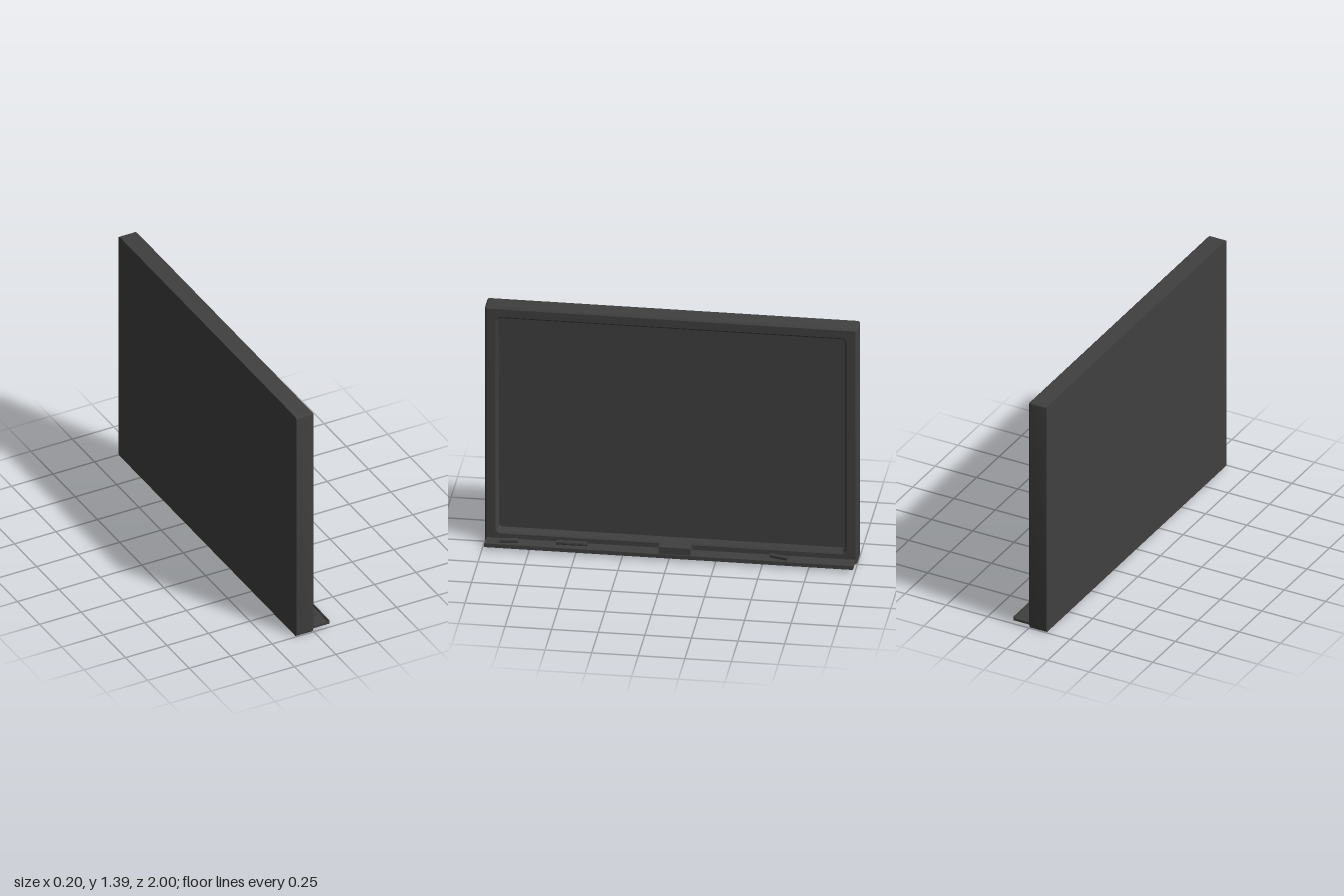
import * as THREE from 'three';
import { toCreasedNormals } from 'three/addons/utils/BufferGeometryUtils.js';

const MID_Y = 0.695;
const BACK = -0.105, FRONT = 0.004, FLOOR = -0.06, BEVEL = 0.01;

// rounded rectangle, counter-clockwise, centred on the origin
function roundedLoop(w, h, r, steps = 4) {
  const pts = [];
  const corners = [[1, 1], [-1, 1], [-1, -1], [1, -1]];
  corners.forEach(([sx, sy], c) => {
    for (let i = 0; i <= steps; i++) {
      const a = (c + i / steps) * Math.PI / 2;
      pts.push(new THREE.Vector2(sx * (w - r) + r * Math.cos(a), sy * (h - r) + r * Math.sin(a)));
    }
  });
  return pts;
}

// skin a row of equal-length loops, each at its own depth x
function skin(rings) {
  const pos = [], idx = [], n = rings[0].loop.length;
  rings.forEach(({ x, loop }) => loop.forEach(p => pos.push(x, p.y, -p.x)));
  for (let k = 0; k < rings.length - 1; k++) {
    for (let i = 0; i < n; i++) {
      const a = k * n + i, b = k * n + (i + 1) % n;
      idx.push(a, b, b + n, a, b + n, a + n);
    }
  }
  const g = new THREE.BufferGeometry();
  g.setAttribute('position', new THREE.Float32BufferAttribute(pos, 3));
  g.setIndex(idx);
  return toCreasedNormals(g, Math.PI / 6);
}

export function createModel() {
  const group = new THREE.Group();
  const material = new THREE.MeshStandardMaterial({ color: 0x404040 });
  const add = (name, geometry, x, y, z) => {
    const mesh = new THREE.Mesh(geometry, material);
    mesh.name = name;
    mesh.position.set(x, y, z);
    group.add(mesh);
    return mesh;
  };

  // frame: outer wall, bevelled front border, recess wall
  const outer = roundedLoop(1, MID_Y, 0.012);
  const opening = roundedLoop(0.932, 0.63, 0.02);
  add('frame', skin([
    { x: BACK, loop: outer },
    { x: FRONT - BEVEL, loop: outer },
    { x: FRONT, loop: roundedLoop(1 - BEVEL, MID_Y - BEVEL, 0.006) },
    { x: FRONT, loop: roundedLoop(0.942, 0.64, 0.028) },
    { x: FRONT - BEVEL, loop: opening },
    { x: FLOOR, loop: opening },
  ]), 0, MID_Y, 0);

  // writing surface and flat back
  const panel = (loop, turn) => new THREE.ShapeGeometry(new THREE.Shape(loop)).rotateY(turn);
  add('writingSurface', panel(opening, Math.PI / 2), FLOOR, MID_Y, 0);
  add('backPanel', panel(outer, -Math.PI / 2), BACK, MID_Y, 0);

  // ledge with a raised front lip
  add('tray', new THREE.BoxGeometry(0.1, 0.013, 1.98), 0.05, 0.0215, 0);
  add('trayLip', new THREE.BoxGeometry(0.007, 0.022, 1.98), 0.0965, 0.026, 0);

  // eraser and chalk sticks lying on the ledge
  add('eraser', new THREE.BoxGeometry(0.08, 0.045, 0.17), 0.047, 0.0505, -0.03);
  const sticks = [
    { x: 0.047, z: -0.586, length: 0.1, turn: -0.26 },
    { x: 0.036, z: 0.527, length: 0.165, turn: 0 },
    { x: 0.047, z: 0.864, length: 0.1, turn: 0.16 },
  ];
  sticks.forEach((s, i) => {
    const g = toCreasedNormals(new THREE.CylinderGeometry(0.012, 0.012, s.length, 12), Math.PI / 4);
    g.rotateX(Math.PI / 2);
    add('chalk' + (i + 1), g, s.x, 0.039, s.z).rotation.y = s.turn;
  });

  return group;
}
